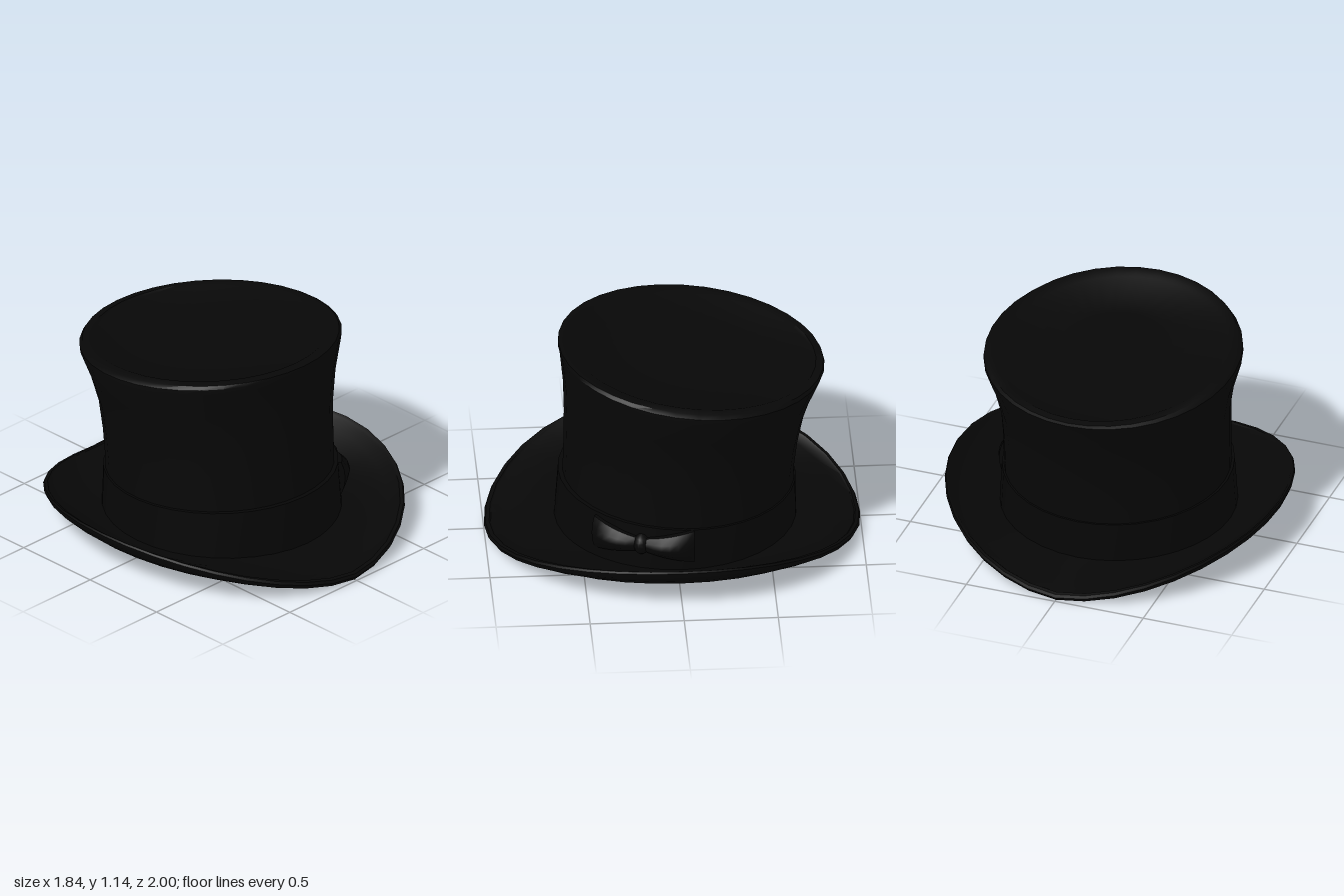
import * as THREE from 'three';
import { toCreasedNormals } from 'three/addons/utils/BufferGeometryUtils.js';

const SEG = 36;

// Skin a list of rings; each ring maps an angle to a point [x, y, z].
function loft(rings) {
  const pos = [], idx = [];
  for (const ring of rings)
    for (let j = 0; j < SEG; j++) pos.push(...ring((j / SEG) * Math.PI * 2));
  for (let i = 0; i < rings.length - 1; i++)
    for (let j = 0; j < SEG; j++) {
      const k = (j + 1) % SEG, a = i * SEG + j, b = i * SEG + k;
      idx.push(a, a + SEG, b, b, a + SEG, b + SEG);
    }
  const g = new THREE.BufferGeometry();
  g.setAttribute('position', new THREE.Float32BufferAttribute(pos, 3));
  g.setIndex(idx);
  return toCreasedNormals(g, 0.65);
}

// Oval ring: height at z = 0, half width, front z, back z, slope along z.
const oval = ([y, a, zf, zb, tilt]) => (t) => {
  const z = (zf + zb) / 2 + ((zf - zb) / 2) * Math.sin(t);
  return [a * Math.cos(t), y + tilt * z, z];
};

// Rim height: low at the front and back, curling up to the sides.
const rim = (t) => 0.03 + 0.22 * Math.pow(Math.abs(Math.cos(t)), 1.5);

// Underside of the brim at scale s: flat in the middle, bowl-like to the rim.
const under = (s) => (t) => {
  const z = s * Math.sin(t), base = 0.03 - 0.03 * z * z;
  return [0.92 * s * Math.cos(t), base + (rim(t) - 0.02 - base) * Math.pow(s, 6), z];
};

// Upper side of the brim: f runs from the crown (0) to the rim (1).
const upper = (f, lift) => (t) => {
  const c = Math.cos(t), s = Math.sin(t), bend = Math.pow(f, 1 + 0.6 * c * c);
  return [(0.6 + 0.32 * f) * c, 0.09 + (rim(t) - 0.09) * bend + lift,
    (0.62 + 0.38 * f) * s - 0.02 * (1 - f)];
};

// Wrap a flat piece (x along the band, y up, z outward) round the crown.
function wrap(g, angle, y) {
  const p = g.attributes.position;
  for (let i = 0; i < p.count; i++) {
    const t = angle - p.getX(i) / 0.62, r = 0.615 + p.getZ(i);
    p.setXYZ(i, r * Math.cos(t), y + p.getY(i), r * Math.sin(t) - 0.02);
  }
  return toCreasedNormals(g, 0.7);
}

export function createModel() {
  const felt = new THREE.MeshStandardMaterial({ color: 0x070707 });
  felt.name = 'black felt';
  const ribbon = new THREE.MeshStandardMaterial({ color: 0x060606 });
  ribbon.name = 'black ribbon';

  const hat = new THREE.Group();
  hat.name = 'topHat';
  const add = (name, geometry, material) => {
    const m = new THREE.Mesh(geometry, material);
    m.name = name;
    hat.add(m);
  };

  // Brim, from the middle of the underside round the rim to the crown
  add('brim', loft([
    under(0.001), under(0.3), under(0.55), under(0.7), under(0.8), under(0.88),
    under(0.95), under(0.985), upper(1, 0), upper(0.98, 0.015), upper(0.93, 0.018),
    upper(0.91, 0.012), upper(0.75, 0.01), upper(0.5, 0.006), upper(0.25, 0.003),
    upper(0, 0),
  ]), felt);

  // Flared crown with a slanted, slightly sunken top
  add('crown', loft([
    [0.06, 0.605, 0.6, -0.645, 0],
    [0.38, 0.603, 0.582, -0.648, 0],
    [0.55, 0.604, 0.577, -0.668, 0.01],
    [0.72, 0.61, 0.575, -0.7, 0.03],
    [0.88, 0.64, 0.58, -0.745, 0.06],
    [1.04, 0.688, 0.598, -0.798, 0.1],
    [1.07, 0.685, 0.607, -0.81, 0.104],
    [1.087, 0.66, 0.605, -0.805, 0.106],
    [1.09, 0.61, 0.545, -0.765, 0.106],
    [1.08, 0.59, 0.53, -0.75, 0.106],
    [1.08, 0.3, 0.22, -0.42, 0.106],
    [1.08, 0.001, -0.099, -0.101, 0.106],
  ].map(oval)), felt);

  // Ribbon band
  add('band', loft([
    [0.07, 0.632, 0.628, -0.66, 0],
    [0.335, 0.616, 0.607, -0.656, 0.045],
    [0.337, 0.6, 0.575, -0.64, 0.045],
  ].map(oval)), ribbon);

  // Bow on the left side: two flared loops and a knot
  const centre = 0.36, height = 0.24;
  for (const side of [-1, 1]) {
    const g = new THREE.BoxGeometry(0.25, 1, 1, 6, 4, 2);
    const p = g.attributes.position;
    for (let i = 0; i < p.count; i++) {
      const f = p.getX(i) / 0.25 + 0.5, v = p.getY(i), out = side > 0 ? f : 1 - f;
      const bulge = 0.015 + 0.06 * Math.sin(Math.PI * (0.15 + 0.7 * f)) * (1 - 3 * v * v);
      p.setXYZ(i, side * 0.155 + p.getX(i), v * (0.08 + 0.11 * out),
        (p.getZ(i) + 0.5) * bulge);
    }
    add(side < 0 ? 'bowLoopFront' : 'bowLoopBack', wrap(g, centre, height), ribbon);
  }
  const knot = new THREE.SphereGeometry(1, 12, 8);
  knot.scale(0.045, 0.06, 0.06);
  add('bowKnot', wrap(knot, centre, height), ribbon);

  return hat;
}
